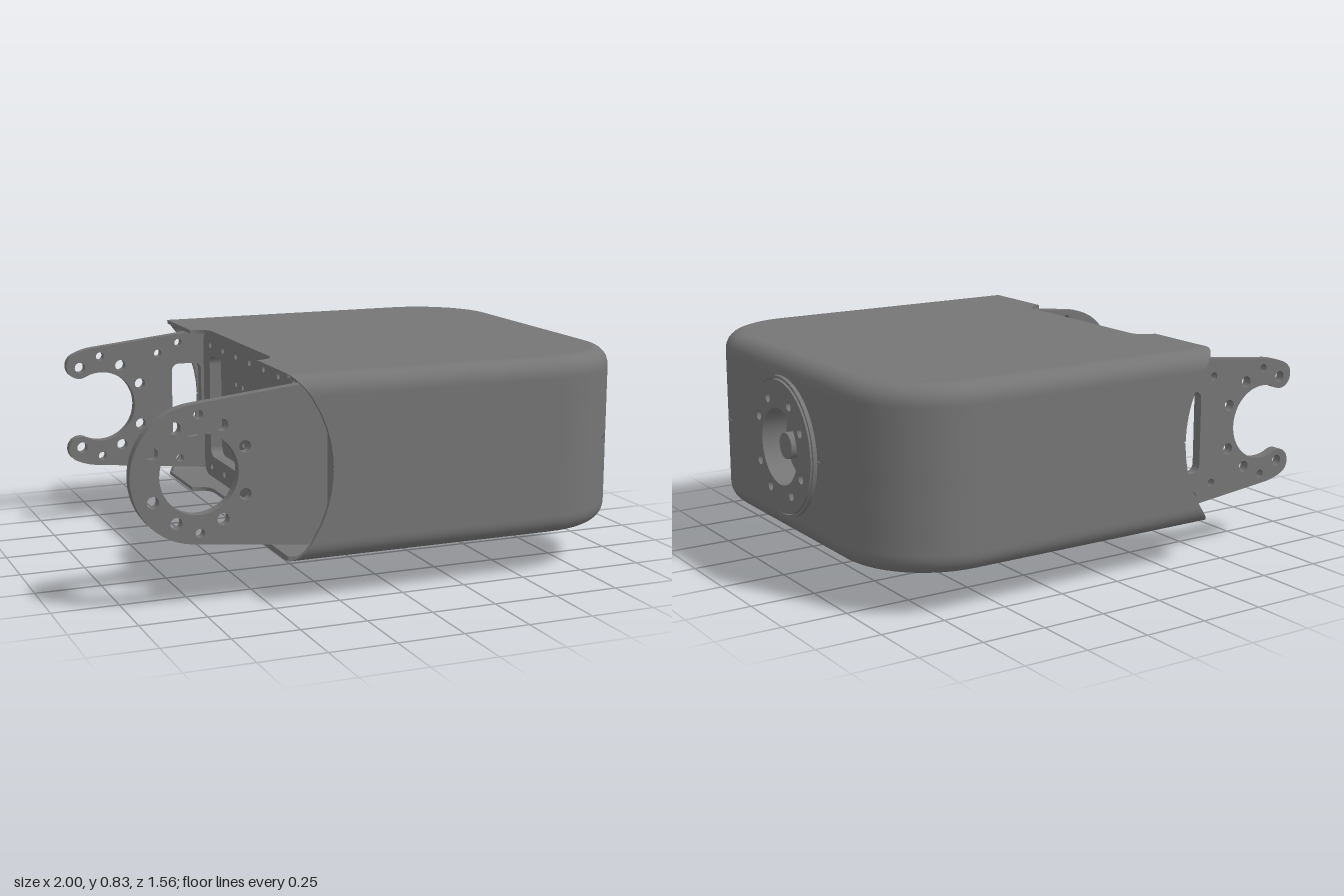
import * as THREE from 'three';

const MID = 0.4965, HALF = 0.3385;          // body centre height and half height
const SKIN = 0.015;                         // shell thickness
const RING = { x: -0.75, outer: 0.25, bore: 0.145 };
const rad = THREE.MathUtils.degToRad;
const BOLT_ANGLES = [27, 63, 117, 153, 207, 243, 297, 333];

const material = () => new THREE.MeshStandardMaterial({ color: 0x757575, side: THREE.DoubleSide });

function add(parent, name, geometry) {
  const mesh = new THREE.Mesh(geometry, material());
  mesh.name = name;
  parent.add(mesh);
  return mesh;
}

function extrude(shape, depth, curveSegments = 24) {
  return new THREE.ExtrudeGeometry(shape, { depth, bevelEnabled: false, curveSegments });
}

function hole(shape, x, y, r) {
  shape.holes.push(new THREE.Path().absarc(x, y, r, 0, Math.PI * 2, true));
}

function boltCircle(shape, cx, cy, r, size, angles = BOLT_ANGLES) {
  for (const a of angles) hole(shape, cx + r * Math.cos(rad(a)), cy + r * Math.sin(rad(a)), size);
}

// Rounded rectangle drawn into a Shape or a hole Path
function roundRect(path, cx, cy, hw, hh, r) {
  const q = Math.PI / 2;
  path.absarc(cx + hw - r, cy + hh - r, r, 0, q);
  path.absarc(cx - hw + r, cy + hh - r, r, q, 2 * q);
  path.absarc(cx - hw + r, cy - hh + r, r, 2 * q, 3 * q);
  path.absarc(cx + hw - r, cy - hh + r, r, 3 * q, 4 * q);
  path.closePath();
  return path;
}

// Smooth surface through rows of points
function loft(rows, skip = () => false) {
  const n = rows[0].length, index = [];
  for (let i = 0; i < rows.length - 1; i++)
    for (let j = 0; j < n - 1; j++) {
      if (skip(rows[i][j], rows[i + 1][j + 1])) continue;
      const a = i * n + j, b = a + n;
      index.push(a, a + 1, b, a + 1, b + 1, b);
    }
  const g = new THREE.BufferGeometry().setFromPoints(rows.flat());
  g.setIndex(index);
  g.computeVertexNormals();
  return g;
}

// The open end of the body follows a cylinder around the ring axis
const endX = (y) => RING.x + Math.sqrt(0.464 ** 2 - y * y);

// U-shaped outline at height y, inset by d
function outline(y, d) {
  const side = [];
  for (let i = 0; i < 6; i++)
    side.push([THREE.MathUtils.lerp(endX(y), 0.62, i / 6), 0.78 - d]);
  for (let i = 0; i <= 14; i++) {
    const a = Math.PI / 2 * (1 - i / 14);
    side.push([0.62 + (0.36 - d) * Math.cos(a), 0.42 + (0.36 - d) * Math.sin(a)]);
  }
  side.push([0.98 - d, 0.26]);
  const all = [...side, ...side.slice().reverse().map(([x, z]) => [x, -z])];
  return all.map(([x, z]) => new THREE.Vector3(x, y, z));
}

// Rows of one half of the body wall, ending in the rounded edge
function wallRows(inset) {
  const r = 0.07 - inset, straight = HALF - 0.07, rows = [];
  for (const y of [0.003, 0.05, 0.1, 0.15, 0.2, 0.26, straight]) rows.push(outline(y, inset));
  for (let i = 1; i <= 8; i++) {
    const a = Math.PI / 2 * i / 8;
    rows.push(outline(straight + r * Math.sin(a), inset + r * (1 - Math.cos(a))));
  }
  return rows;
}

// Flat cover with the shallow notch at the open end
function coverShape() {
  const s = new THREE.Shape(), x0 = endX(HALF), q = Math.PI / 2;
  s.moveTo(x0, -0.71);
  s.lineTo(0.62, -0.71);
  s.absarc(0.62, -0.42, 0.29, -q, 0);
  s.absarc(0.62, 0.42, 0.29, 0, q);
  s.lineTo(x0, 0.71);
  s.lineTo(x0, 0.4);
  s.absarc(-0.43, 0.33, 0.07, q, 0, true);
  s.absarc(-0.43, -0.33, 0.07, 0, -q, true);
  s.lineTo(x0, -0.4);
  s.closePath();
  return s;
}

// Arm side profile: full ring, or a hook open towards the end
function armShape(open) {
  const s = new THREE.Shape(), { x, outer, bore } = RING, t = rad(96.3), tip = rad(117);
  s.moveTo(-0.27, -0.303);
  s.lineTo(-0.27, 0.303);
  if (open) {
    const r = (outer - bore) / 2, c = bore + r, tx = x + c * Math.cos(tip), ty = c * Math.sin(tip);
    s.absarc(x, 0, outer, t, tip);
    s.absarc(tx, ty, r, tip, tip + Math.PI);
    s.absarc(x, 0, bore, tip, -tip, true);
    s.absarc(tx, -ty, r, Math.PI - tip, 2 * Math.PI - tip);
    s.absarc(x, 0, outer, 2 * Math.PI - tip, 2 * Math.PI - t);
    s.holes.push(roundRect(new THREE.Path(), -0.375, 0, 0.065, 0.16, 0.03));
    for (const k of [-1, 1]) {
      hole(s, -0.5, 0.21 * k, 0.016);
      hole(s, -0.41, 0.25 * k, 0.016);
    }
  } else {
    s.absarc(x, 0, outer, t, 2 * Math.PI - t);
    hole(s, x, 0, bore);
  }
  s.closePath();
  boltCircle(s, x, 0, 0.19, 0.022, open ? [27, 63, 117, 243, 297, 333] : BOLT_ANGLES);
  boltCircle(s, x, 0, 0.212, 0.017, [90, 270]);
  return s;
}

export function createModel() {
  const model = new THREE.Group();
  const body = new THREE.Group();
  body.name = 'body';
  body.position.y = MID;
  model.add(body);

  // Two mirrored half shells with a fine seam between them
  const inPort = (a, b) => a.x > 0.9 && Math.abs(a.z + b.z) < 0.1 && b.y < 0.265;
  const outer = wallRows(0), inner = wallRows(SKIN);
  const coverGeo = extrude(coverShape(), SKIN).rotateX(-Math.PI / 2).translate(0, HALF - SKIN, 0);
  for (const [name, k] of [['upper', 1], ['lower', -1]]) {
    const half = new THREE.Group();
    half.name = name + 'Shell';
    half.scale.y = k;
    body.add(half);
    add(half, name + 'Wall', loft(outer, inPort));
    add(half, name + 'Liner', loft(inner, inPort));
    add(half, name + 'Cover', coverGeo);
    for (const j of [0, outer[0].length - 1])
      add(half, name + 'Rim', loft(outer.map((row, i) => [row[j], inner[i][j]])));
  }
  // Strip behind the seam
  const strip = [-0.01, 0.01].map((y) => outline(y, 0.01));
  add(body, 'seamStrip', loft(strip, inPort));

  // Round output port on the closed end
  const port = new THREE.Group();
  port.name = 'outputPort';
  body.add(port);
  const turn = (g, x) => g.rotateY(Math.PI / 2).translate(x, 0, 0);
  const wall = roundRect(new THREE.Shape(), 0, 0, 0.26, 0.26, 0.001);
  hole(wall, 0, 0, 0.145);
  add(port, 'portWall', turn(new THREE.ShapeGeometry(wall, 32), 0.98));
  const rim = new THREE.Shape().absarc(0, 0, 0.265, 0, Math.PI * 2);
  hole(rim, 0, 0, 0.256);
  add(port, 'portRim', turn(extrude(rim, 0.03, 48), 0.965));
  const flange = new THREE.Shape().absarc(0, 0, 0.251, 0, Math.PI * 2);
  hole(flange, 0, 0, 0.145);
  boltCircle(flange, 0, 0, 0.19, 0.018);
  add(port, 'portFlange', turn(extrude(flange, 0.035, 48), 0.965));
  add(port, 'portSocket', new THREE.CylinderGeometry(0.145, 0.145, 0.1, 32, 1, true)
    .rotateZ(Math.PI / 2).translate(0.94, 0, 0));
  add(port, 'portFloor', turn(new THREE.CircleGeometry(0.145, 32), 0.9));
  add(port, 'portHub', new THREE.CylinderGeometry(0.05, 0.05, 0.08, 24)
    .rotateZ(Math.PI / 2).translate(0.935, 0, 0));

  // Recessed panel closing the open end
  const panel = roundRect(new THREE.Shape(), 0, 0, 0.765, 0.322, 0.06);
  for (const z of [-0.3, -0.22, -0.08, 0.08, 0.22, 0.3])
    for (const y of [-0.12, 0, 0.12]) hole(panel, z, y, 0.013);
  add(body, 'endPanel', turn(extrude(panel, 0.02, 8), -0.27));
  const frame = roundRect(new THREE.Shape(), 0, 0, 0.57, 0.305, 0.05);
  frame.holes.push(roundRect(new THREE.Path(), 0, 0, 0.49, 0.215, 0.04));
  for (let i = 0; i < 7; i++)
    for (const k of [-1, 1]) hole(frame, -0.48 + 0.16 * i, 0.26 * k, 0.015);
  add(body, 'panelFrame', turn(extrude(frame, 0.05, 8), -0.32));

  // Arms: ring arm at the front, hook arm at the back
  add(body, 'ringArm', extrude(armShape(false), 0.04)).position.z = 0.64;
  add(body, 'hookArm', extrude(armShape(true), 0.04)).position.z = -0.68;

  // Hollow stiffener inside the ring arm, curved around the ring
  const boss = new THREE.Shape(), a = Math.asin(0.22 / 0.278);
  boss.moveTo(-0.27, -0.27);
  boss.lineTo(-0.27, 0.27);
  boss.lineTo(-0.5, 0.25);
  boss.absarc(RING.x, 0, 0.278, a, -a, true);
  boss.lineTo(-0.5, -0.25);
  boss.closePath();
  boss.holes.push(roundRect(new THREE.Path(), -0.37, 0, 0.065, 0.17, 0.03));
  add(body, 'armStiffener', extrude(boss, 0.06)).position.z = 0.58;

  // Strap loop underneath
  const strap = new THREE.Shape(), q = Math.PI / 2;
  strap.moveTo(-0.298, 0.17);
  strap.lineTo(-0.298, 0.11);
  strap.absarc(-0.188, 0.11, 0.11, 2 * q, 3 * q);
  strap.absarc(0.188, 0.11, 0.11, 3 * q, 4 * q);
  strap.lineTo(0.298, 0.17);
  strap.lineTo(0.265, 0.17);
  strap.absarc(0.188, 0.11, 0.077, 4 * q, 3 * q, true);
  strap.absarc(-0.188, 0.11, 0.077, 3 * q, 2 * q, true);
  strap.lineTo(-0.265, 0.17);
  strap.closePath();
  add(model, 'strapLoop', turn(extrude(strap, 0.705, 12), -0.25));

  return model;
}
